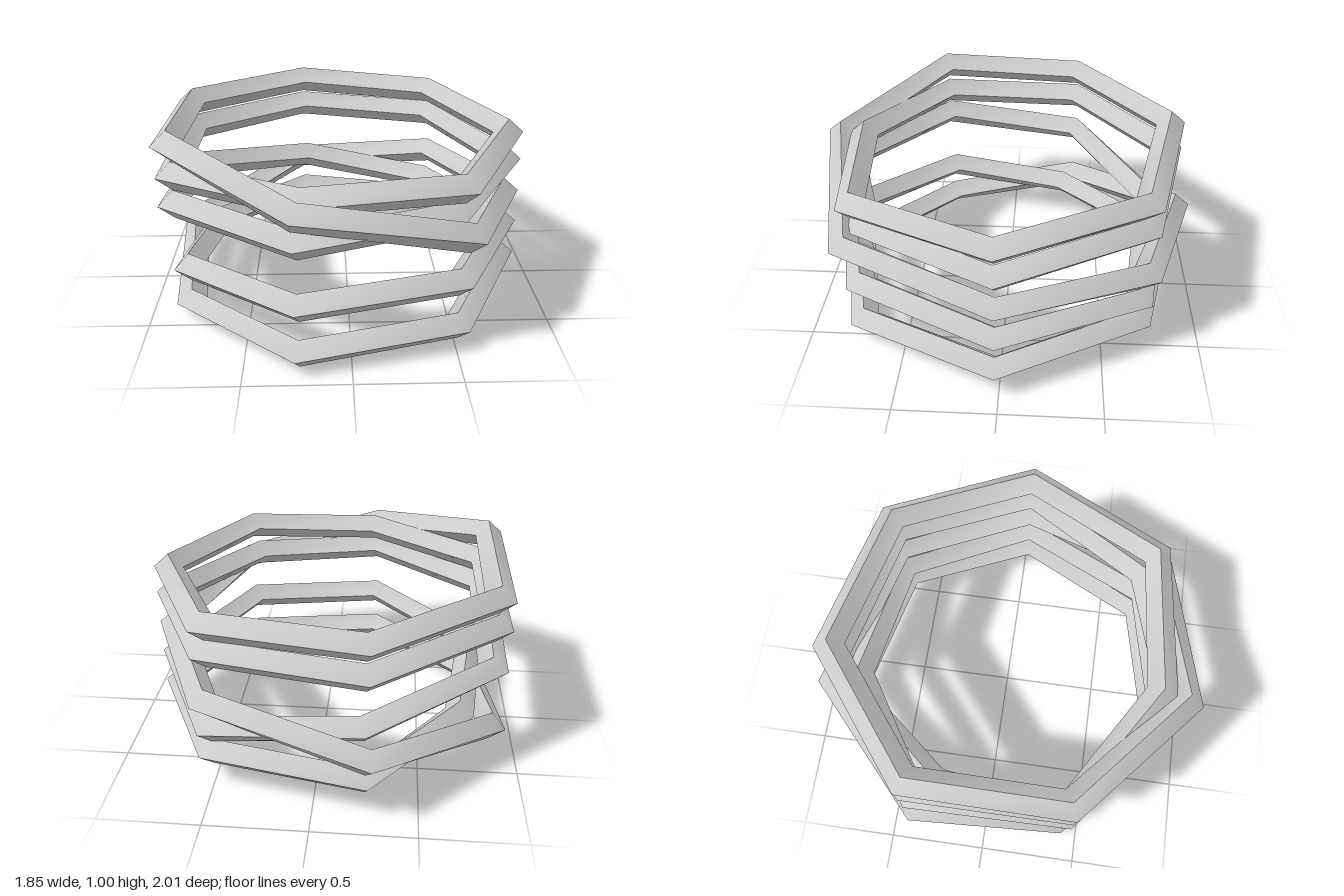
import * as THREE from 'three';
import { toCreasedNormals } from 'three/addons/utils/BufferGeometryUtils.js';

const SIDES = 7;        // corners per turn
const RADIUS = 0.885;   // centreline radius of a turn
const HALF = 0.071;     // half diagonal of the square section
const CX = -0.045, CZ = 0.02;

// Each turn runs front-left, front, front-right, right, back-right, back, back-left.
// y: centre heights; out: shift from the base radius where strands pass each other.
const TURNS = [
  { y: [0.073, 0.09, 0.115, 0.14, 0.18, 0.19, 0.22], out: [-0.05, 0, 0, 0, 0, 0, -0.15] },
  { y: [0.27, 0.33, 0.35, 0.33, 0.31, 0.43, 0.53], out: [-0.05, 0, 0, 0, 0, -0.07, 0] },
  { y: [0.625, 0.64, 0.665, 0.69, 0.73, 0.745, 0.755], out: [0, 0, -0.06, 0, 0, 0, 0] },
  { y: [0.77, 0.80, 0.82, 0.84, 0.87, 0.895, 0.905], out: [0, -0.09, 0, 0, 0, 0, 0] },
  // the strand that crosses back down to the first turn
  { y: [0.93, 0.79, 0.60, 0.51, 0.48, 0.36, 0.20], out: [0.01, 0.04, 0.06, 0, 0.03, 0.09, 0.02] },
];

function coilPath() {
  const path = [];
  for (const turn of TURNS) {
    for (let i = 0; i < SIDES; i++) {
      const a = (3 - i) * Math.PI * 2 / SIDES;
      const r = RADIUS + turn.out[i];
      path.push({
        point: new THREE.Vector3(CX + r * Math.cos(a), turn.y[i], CZ + r * Math.sin(a)),
        radial: new THREE.Vector3(Math.cos(a), 0, Math.sin(a)),
      });
    }
  }
  return path;
}

// Closed square tube standing on its edge, mitred at each corner
function coilGeometry() {
  const path = coilPath();
  const n = path.length;
  const miter = HALF / Math.cos(Math.PI / SIDES);
  const rings = path.map(({ point, radial }, i) => {
    const before = path[(i + n - 1) % n].point;
    const after = path[(i + 1) % n].point;
    const inDir = point.clone().sub(before).normalize();
    const outDir = after.clone().sub(point).normalize();
    const tangent = inDir.add(outDir).normalize();
    const up = new THREE.Vector3().crossVectors(radial, tangent).normalize();
    if (up.y < 0) up.negate();
    return [[1, 0], [0, 1], [-1, 0], [0, -1]].map(([u, v]) =>
      point.clone().addScaledVector(radial, u * miter).addScaledVector(up, v * HALF));
  });

  const positions = [];
  for (let i = 0; i < n; i++) {
    const a = rings[i], b = rings[(i + 1) % n];
    for (let k = 0; k < 4; k++) {
      const m = (k + 1) % 4;
      for (const p of [a[k], b[k], b[m], a[k], b[m], a[m]]) positions.push(p.x, p.y, p.z);
    }
  }
  const geometry = new THREE.BufferGeometry();
  geometry.setAttribute('position', new THREE.Float32BufferAttribute(positions, 3));
  return toCreasedNormals(geometry, 0.95);
}

export function createModel() {
  const group = new THREE.Group();
  group.name = 'coil';
  const material = new THREE.MeshStandardMaterial({ color: 0xcccccc, side: THREE.DoubleSide });
  const strand = new THREE.Mesh(coilGeometry(), material);
  strand.name = 'coiledStrand';
  group.add(strand);
  return group;
}
